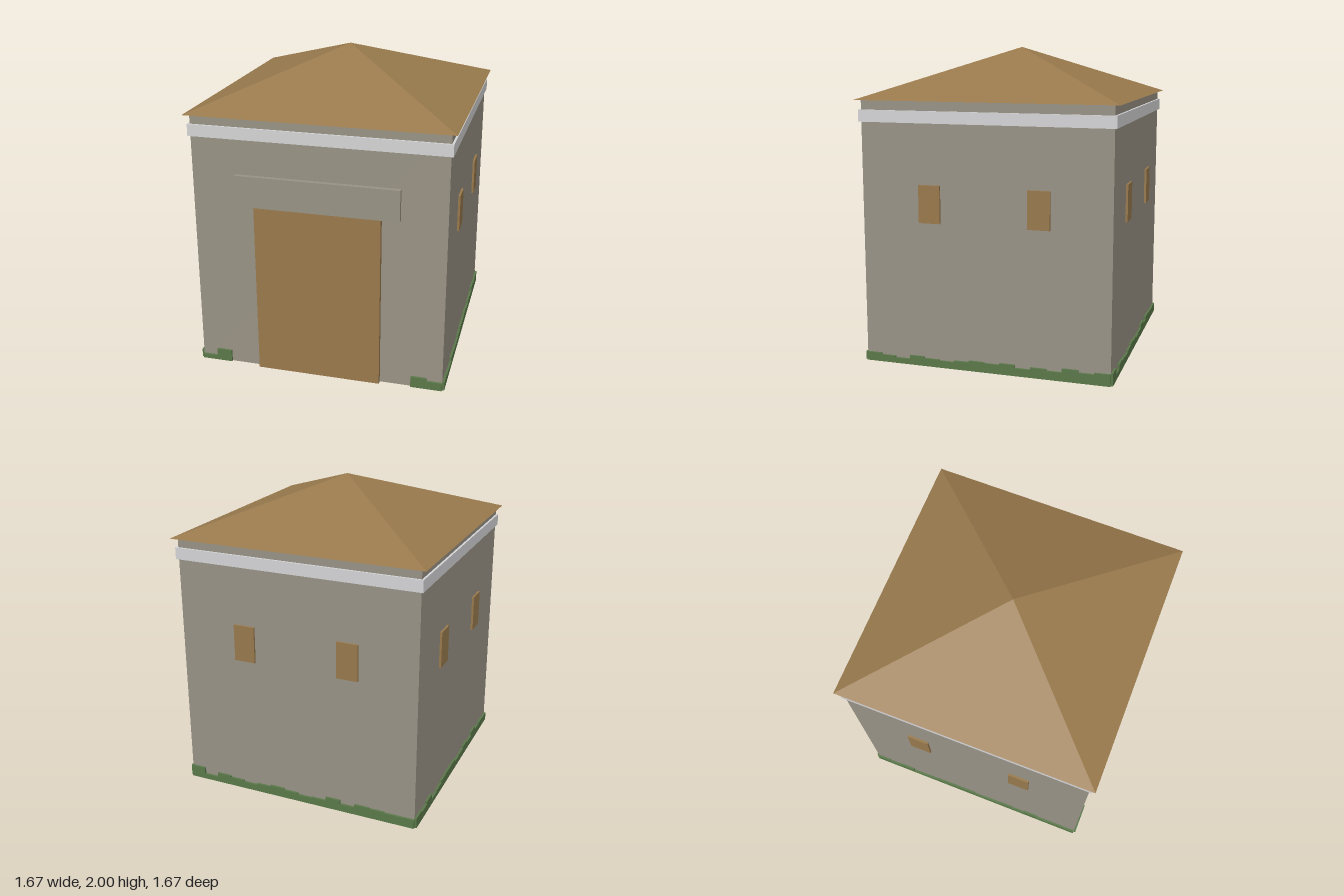
import * as THREE from 'three';

const mat = (name, color) => {
  const m = new THREE.MeshStandardMaterial({ color, flatShading: true });
  m.name = name;
  return m;
};

export function createModel() {
  const stone = mat('stone', 0x989285);
  const wood = mat('wood', 0x98794c);
  const trim = mat('paleTrim', 0xd4d4d6);
  const moss = mat('moss', 0x5a7849);

  const model = new THREE.Group();
  model.name = 'smallHouse';

  const add = (name, geometry, material, parent = model) => {
    const mesh = new THREE.Mesh(geometry, material);
    mesh.name = name;
    parent.add(mesh);
    return mesh;
  };
  // box given by its lower and upper corners
  const box = (name, a, b, material, parent) => {
    const g = new THREE.BoxGeometry(b[0] - a[0], b[1] - a[1], b[2] - a[2]);
    g.translate((a[0] + b[0]) / 2, (a[1] + b[1]) / 2, (a[2] + b[2]) / 2);
    return add(name, g, material, parent);
  };

  const W = 0.8; // half width of the walls

  // walls and the band below the eaves
  box('walls', [-W, 0, -W], [W, 1.68, W], stone);
  box('corniceBand', [-0.814, 1.545, -0.814], [0.814, 1.62, 0.814], trim);

  // pyramid roof
  const roof = new THREE.ConeGeometry(0.835 * Math.SQRT2, 0.32, 4, 1);
  roof.rotateY(Math.PI / 4);
  roof.translate(0, 1.84, 0);
  add('roof', roof, wood);

  // door and lintel
  box('door', [-0.4, 0, W], [0.4, 1.12, 0.83], wood);
  box('lintel', [-0.515, 1.12, W], [0.515, 1.32, 0.83], stone);

  // stepped moss strip along the foot of a wall, one step per 0.1
  const mossStrip = (start, heights) => {
    const s = new THREE.Shape();
    s.moveTo(start, 0);
    heights.forEach((h, i) => {
      s.lineTo(start + i * 0.1, h);
      s.lineTo(start + (i + 1) * 0.1, h);
    });
    s.lineTo(start + heights.length * 0.1, 0);
    const g = new THREE.ExtrudeGeometry(s, { depth: 0.014, bevelEnabled: false });
    return g.translate(0, 0, W);
  };

  // each side is modelled facing +z and turned into place
  const run = [0.055, 0.045, 0.035, 0.06, 0.05, 0.045, 0.055, 0.065,
    0.06, 0.07, 0.05, 0.065, 0.055, 0.08, 0.065, 0.075];
  const sides = [
    { name: 'front', turn: 0, windows: false, moss: [[-0.8, [0.03, 0.08]], [0.6, [0.073, 0.053]]] },
    { name: 'left', turn: 1, windows: true, moss: [[-0.8, run]] },
    { name: 'back', turn: 2, windows: true, moss: [[-0.8, run.map((h, i) => run[(i * 5 + 13) % 16])]] },
    { name: 'right', turn: 3, windows: true, moss: [[-0.8, run.map((h, i) => run[(i * 3 + 9) % 16])]] },
  ];
  for (const side of sides) {
    const group = new THREE.Group();
    group.name = side.name + 'Details';
    group.rotation.y = side.turn * Math.PI / 2;
    model.add(group);
    for (const [start, heights] of side.moss) add('mossStrip', mossStrip(start, heights), moss, group);
    if (side.windows) {
      for (const x of [-0.35, 0.35]) {
        box('windowShutter', [x - 0.07, 0.927, W], [x + 0.07, 1.165, 0.814], wood, group);
      }
    }
  }
  return model;
}
